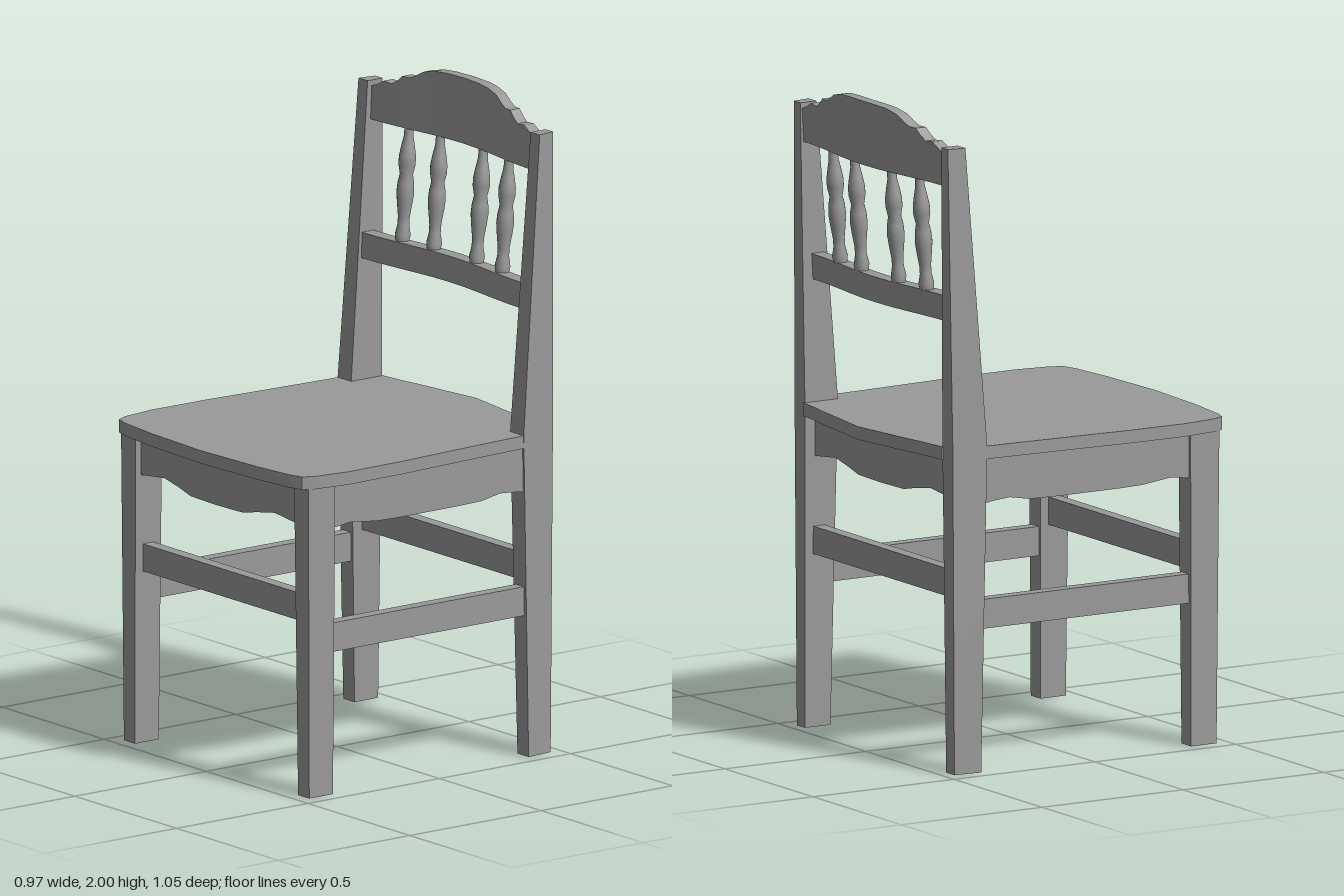
import * as THREE from 'three';
import { toCreasedNormals } from 'three/addons/utils/BufferGeometryUtils.js';

const wood = new THREE.MeshStandardMaterial({ color: 0x9a9a9a });

// Skin a row of four-cornered sections (counter-clockwise seen from the far end)
function loft(sections) {
  const pos = [];
  const quad = (a, b, c, d) => pos.push(...a, ...b, ...c, ...a, ...c, ...d);
  for (let s = 0; s < sections.length - 1; s++) {
    const a = sections[s], b = sections[s + 1];
    for (let i = 0; i < 4; i++) {
      const j = (i + 1) % 4;
      quad(a[i], a[j], b[j], b[i]);
    }
  }
  const first = sections[0], last = sections[sections.length - 1];
  quad(first[3], first[2], first[1], first[0]);
  quad(last[0], last[1], last[2], last[3]);
  const geo = new THREE.BufferGeometry();
  geo.setAttribute('position', new THREE.Float32BufferAttribute(pos, 3));
  return toCreasedNormals(geo, 0.4);
}

// Tapered post: rows of [y, inner x, outer x, back z, front z];
// the outer face may turn inward towards the back
function post(rows, side, turnIn = 0) {
  return loft(rows.map(([y, xi, xo, z0, z1]) => {
    const xb = xo - turnIn;
    return side > 0
      ? [[xo, y, z1], [xb, y, z0], [xi, y, z0], [xi, y, z1]]
      : [[-xi, y, z1], [-xi, y, z0], [-xb, y, z0], [-xo, y, z1]];
  }));
}

// Linear lookup in sorted [position, value] pairs
function lookup(table, t) {
  for (let i = 1; i < table.length; i++) {
    const [a, va] = table[i - 1], [b, vb] = table[i];
    if (t <= b) return va + (vb - va) * (t - a) / (b - a);
  }
  return table[table.length - 1][1];
}

// Bowed cross rail; the lower and upper edges are given for half the width
function rail({ half, low, high, front, bow, thick, lean = 0 }) {
  const stops = new Set([0, 0.08, 0.16, 0.24, 0.32, half]);
  [...low, ...high].forEach(([x]) => x <= half && stops.add(x));
  const right = [...stops].sort((a, b) => a - b);
  const xs = [...right.slice(1).reverse().map((x) => -x), ...right];
  return loft(xs.map((x) => {
    const ax = Math.abs(x), lo = lookup(low, ax), hi = lookup(high, ax);
    const z = front + bow * (0.5 + 0.5 * Math.cos(Math.PI * ax / half));
    const zt = z - lean * (hi - lo);
    return [[x, lo, z - thick], [x, hi, zt - thick], [x, hi, zt], [x, lo, z]];
  }));
}

export function createModel() {
  const model = new THREE.Group();
  const add = (name, geo) => {
    const mesh = new THREE.Mesh(geo, wood);
    mesh.name = name;
    model.add(mesh);
    return mesh;
  };
  const flat = (y) => [[0, y], [0.4, y]];

  // Seat board, notched around the back posts
  const edge = [[0, 0.525], [0.25, 0.513], [0.4, 0.497], [0.45, 0.483], [0.468, 0.445],
    [0.484, 0.33], [0.481, 0.12], [0.472, -0.03], [0.463, -0.2], [0.456, -0.36],
    [0.395, -0.36], [0.395, -0.476], [0.3, -0.486], [0.24, -0.497], [0.12, -0.512], [0, -0.528]];
  const outline = [...edge, ...edge.slice(1, -1).reverse().map(([x, z]) => [-x, z])];
  const seat = new THREE.ExtrudeGeometry(
    new THREE.Shape(outline.map(([x, z]) => new THREE.Vector2(x, -z))),
    { depth: 0.04, bevelEnabled: false });
  seat.rotateX(-Math.PI / 2);
  seat.translate(0, 0.96, 0);
  add('seat', toCreasedNormals(seat, 0.4));

  for (const side of [1, -1]) {
    const label = side > 0 ? 'left' : 'right';
    // Front leg and full-height back post
    add(label + 'FrontLeg', post([[0, 0.4, 0.455, 0.37, 0.46], [0.96, 0.39, 0.46, 0.365, 0.467]], side));
    add(label + 'BackPost', post([[0, 0.4, 0.455, -0.465, -0.375],
      [1, 0.39, 0.457, -0.472, -0.355], [1.92, 0.4, 0.445, -0.482, -0.425]], side, 0.008));

    // Side apron with a shaped lower edge
    const x0 = side > 0 ? 0.415 : -0.45, x1 = side > 0 ? 0.45 : -0.415;
    const curve = [[-0.37, 0.822], [-0.33, 0.828], [-0.27, 0.833], [-0.2, 0.82], [-0.1, 0.818],
      [0.12, 0.818], [0.2, 0.82], [0.3, 0.832], [0.38, 0.822]];
    add(label + 'SideApron', loft(curve.map(([z, y]) =>
      [[x1, y, z], [x1, 0.96, z], [x0, 0.96, z], [x0, y, z]])));

    // Side stretcher
    const bar = new THREE.BoxGeometry(0.04, 0.09, 0.76);
    bar.translate(side * 0.425, 0.483, 0);
    add(label + 'SideStretcher', bar);
  }

  // Front and back aprons and stretchers
  const scallop = [[0, 0.821], [0.13, 0.822], [0.19, 0.835], [0.27, 0.848], [0.32, 0.842], [0.4, 0.832]];
  add('frontApron', rail({ half: 0.395, low: scallop, high: flat(0.96), front: 0.445, bow: 0.018, thick: 0.035 }));
  add('backApron', rail({ half: 0.395, low: scallop, high: flat(0.96), front: -0.4, bow: -0.015, thick: 0.035 }));
  for (const [name, z] of [['frontStretcher', 0.415], ['backStretcher', -0.42]]) {
    const bar = new THREE.BoxGeometry(0.79, 0.085, 0.04);
    bar.translate(0, 0.575, z);
    add(name, bar);
  }

  // Backrest: lower rail and carved crest rail
  add('lowerBackRail', rail({ half: 0.4, low: flat(1.376), high: flat(1.455), front: -0.396, bow: -0.028, thick: 0.045, lean: 0.05 }));
  const crest = [[0, 2], [0.08, 1.999], [0.13, 1.996], [0.18, 1.985], [0.21, 1.968], [0.235, 1.957],
    [0.265, 1.957], [0.285, 1.94], [0.31, 1.925], [0.345, 1.928], [0.37, 1.915], [0.405, 1.9]];
  add('crestRail', rail({ half: 0.405, low: flat(1.8), high: crest, front: -0.435, bow: -0.036, thick: 0.036, lean: 0.05 }));

  // Turned spindles, leaning back slightly
  const profile = [[0.021, 0], [0.024, 0.02], [0.018, 0.05], [0.018, 0.075], [0.024, 0.12],
    [0.027, 0.15], [0.025, 0.18], [0.02, 0.205], [0.026, 0.235], [0.026, 0.26], [0.021, 0.29],
    [0.015, 0.32], [0.014, 0.35]];
  for (const x of [-0.245, -0.105, 0.105, 0.245]) {
    const geo = new THREE.LatheGeometry(profile.map(([r, y]) => new THREE.Vector2(r, y)), 16);
    const spindle = add('spindle', geo);
    spindle.position.set(x, 1.453, Math.abs(x) < 0.2 ? -0.448 : -0.437);
    spindle.rotation.x = -0.075;
  }
  return model;
}
